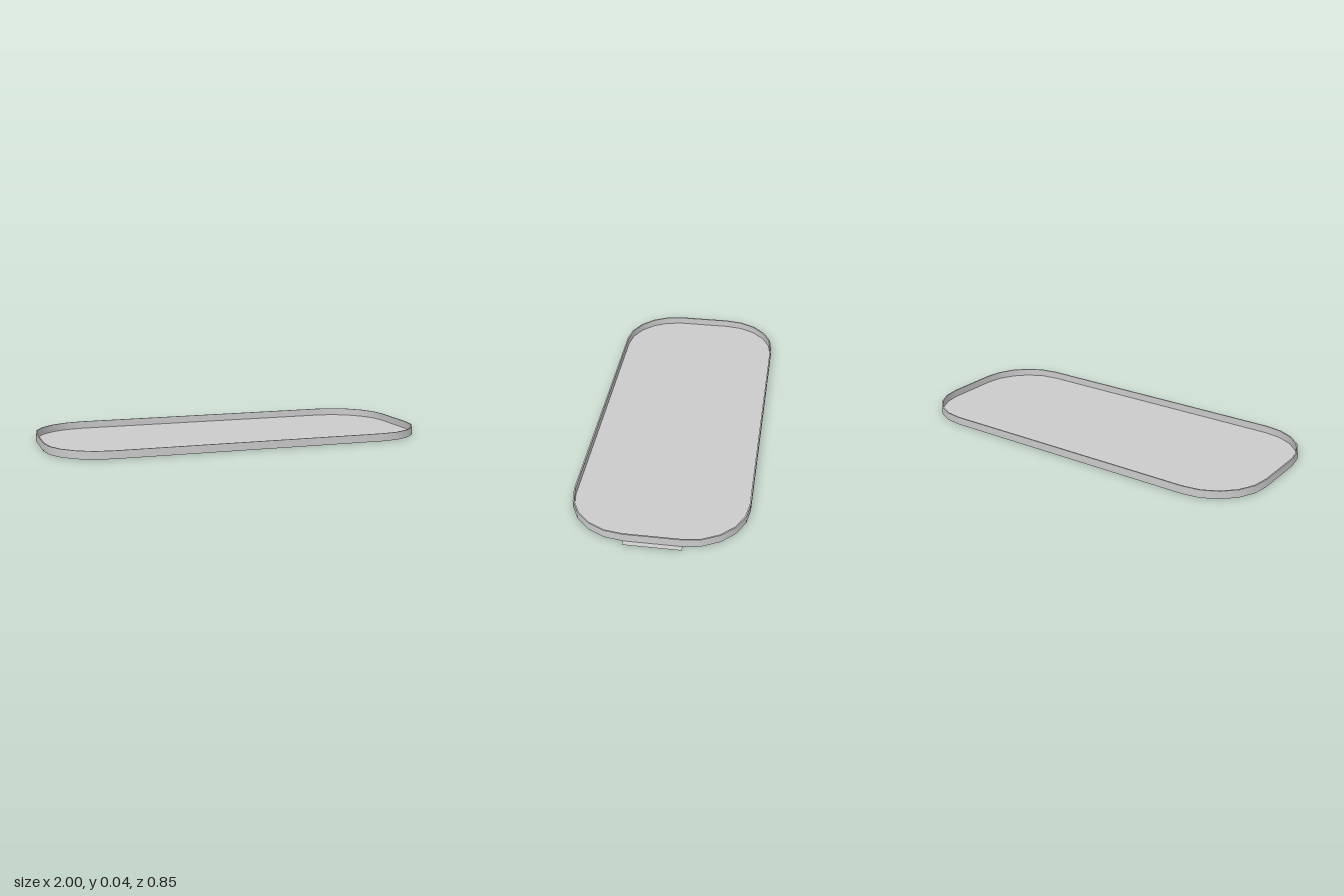
import * as THREE from 'three';
import { toCreasedNormals } from 'three/addons/utils/BufferGeometryUtils.js';

const WIDTH = 1.974, DEPTH = 0.85, HEIGHT = 0.04, RADIUS = 0.287;
const WALL = 0.007, FLOOR = 0.003, CORNER_STEPS = 5;

// Rounded rectangle outline, pulled in by an inset
function outline(inset) {
  const r = RADIUS - inset, points = [];
  const cx = WIDTH / 2 - RADIUS, cy = DEPTH / 2 - RADIUS;
  [[1, 1], [-1, 1], [-1, -1], [1, -1]].forEach(([sx, sy], corner) => {
    for (let i = 0; i <= CORNER_STEPS; i++) {
      const a = (corner + i / CORNER_STEPS) * Math.PI / 2;
      points.push(new THREE.Vector2(sx * cx + r * Math.cos(a), sy * cy + r * Math.sin(a)));
    }
  });
  return points;
}

// Extrude a flat shape upwards, smooth round the corners, sharp at the rims
function slab(shape, height) {
  const geometry = new THREE.ExtrudeGeometry(shape, { depth: height, bevelEnabled: false });
  geometry.rotateX(-Math.PI / 2);
  return toCreasedNormals(geometry, Math.PI / 6);
}

export function createModel() {
  const group = new THREE.Group();
  group.name = 'tray';
  const material = new THREE.MeshStandardMaterial({ color: 0xcccccc });
  const centreX = -1 + WIDTH / 2;

  const add = (name, geometry, x, mat = material) => {
    const mesh = new THREE.Mesh(geometry, mat);
    mesh.name = name;
    mesh.position.x = x;
    group.add(mesh);
    return mesh;
  };

  // Thin upright wall running round the edge
  const wallShape = new THREE.Shape(outline(0));
  wallShape.holes.push(new THREE.Path(outline(WALL)));
  add('wall', slab(wallShape, HEIGHT), centreX);

  // Flat floor inside the wall
  add('floor', slab(new THREE.Shape(outline(WALL)), FLOOR), centreX);

  // Paper-thin tab at the foot of the left end
  const tab = new THREE.PlaneGeometry(0.026, 0.275).rotateX(-Math.PI / 2);
  const tabMaterial = new THREE.MeshStandardMaterial({ color: 0xcccccc, side: THREE.DoubleSide });
  add('endTab', tab, 0.987, tabMaterial).position.z = -0.003;

  return group;
}
